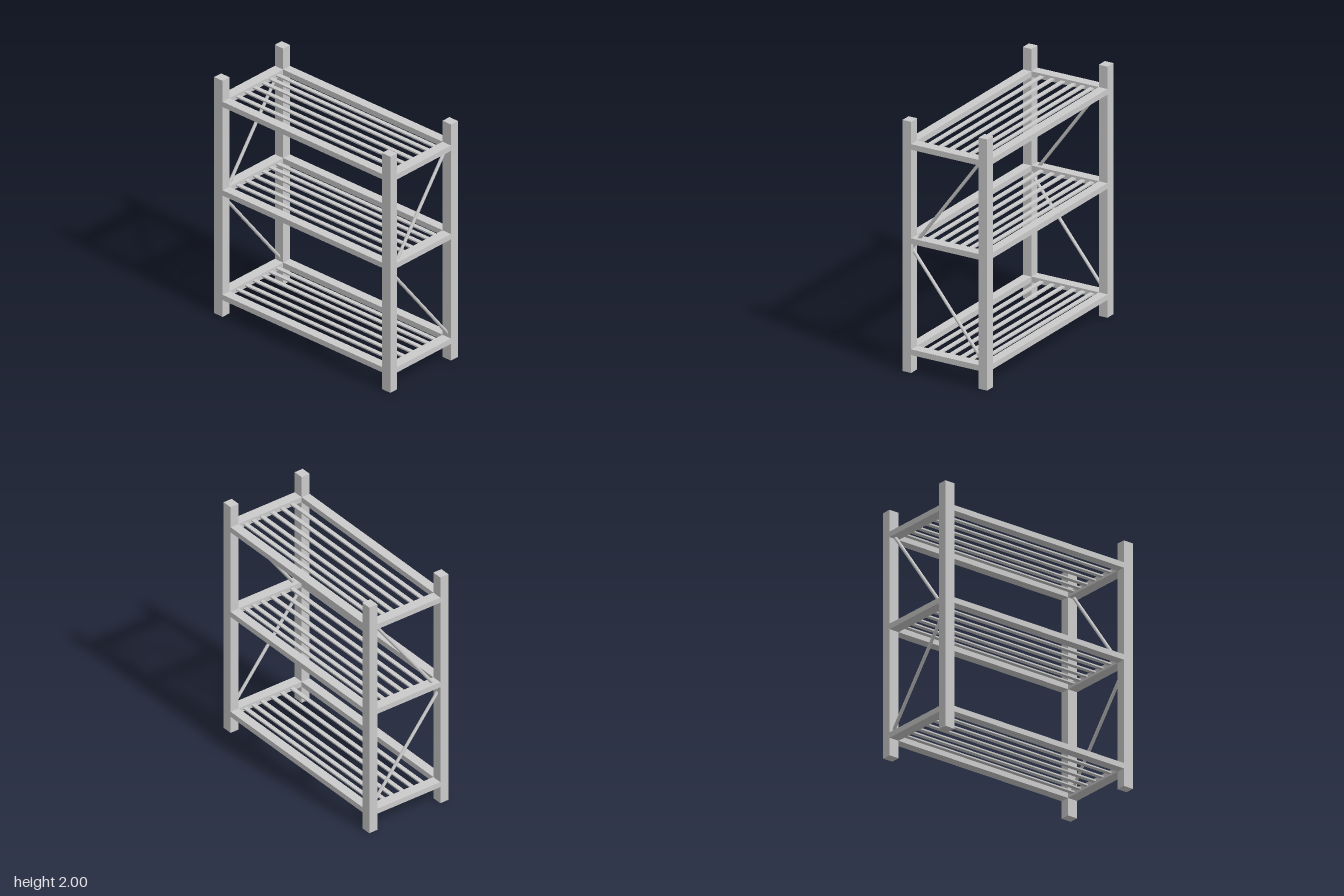
import * as THREE from 'three';

const material = new THREE.MeshStandardMaterial({ color: 0xcccccc });

export function createModel() {
  const rack = new THREE.Group();
  rack.name = 'storageRack';

  const POST_X = 0.8425, POST_Z = 0.33;   // post centres
  const POST_W = 0.085, POST_D = 0.075;   // post section
  const INNER_X = POST_X - POST_W / 2;
  const INNER_Z = POST_Z - POST_D / 2;
  const RAIL_H = 0.045;

  const box = (name, parent, size, pos) => {
    const mesh = new THREE.Mesh(new THREE.BoxGeometry(...size), material);
    mesh.name = name;
    mesh.position.set(...pos);
    parent.add(mesh);
  };

  // Round rod between two points
  const rod = (name, parent, a, b, radius) => {
    const dir = b.clone().sub(a);
    const mesh = new THREE.Mesh(new THREE.CylinderGeometry(radius, radius, dir.length(), 12), material);
    mesh.name = name;
    mesh.position.copy(a).add(b).multiplyScalar(0.5);
    mesh.quaternion.setFromUnitVectors(new THREE.Vector3(0, 1, 0), dir.normalize());
    parent.add(mesh);
  };

  // Corner posts
  for (const sx of [-1, 1]) {
    for (const sz of [-1, 1]) {
      box('cornerPost', rack, [POST_W, 2, POST_D], [sx * POST_X, 1, sz * POST_Z]);
    }
  }

  // Shelves: a frame of four rails carrying thin slats
  const slatZ = [-0.232, -0.156, -0.076, 0.019, 0.109, 0.203];
  for (const y of [0.165, 1.05, 1.80]) {
    const shelf = new THREE.Group();
    shelf.name = 'shelf';
    shelf.position.y = y;
    for (const s of [-1, 1]) {
      box(s > 0 ? 'frontRail' : 'backRail', shelf, [2 * INNER_X, RAIL_H, POST_D], [0, 0, s * POST_Z]);
      box('sideRail', shelf, [POST_W, RAIL_H, 2 * INNER_Z], [s * POST_X, 0, 0]);
    }
    for (const z of slatZ) {
      box('slat', shelf, [2 * INNER_X, 0.012, 0.034], [0, 0, z]);
    }
    rack.add(shelf);
  }

  // Diagonal braces on both ends
  for (const sx of [-1, 1]) {
    const x = sx * POST_X;
    const at = (y, z) => new THREE.Vector3(x, y, z);
    rod('upperBrace', rack, at(0.99, 0.305), at(1.79, -0.285), 0.013);
    rod('lowerBrace', rack, at(0.965, 0.30), at(0.215, -0.30), 0.013);
  }

  return rack;
}
